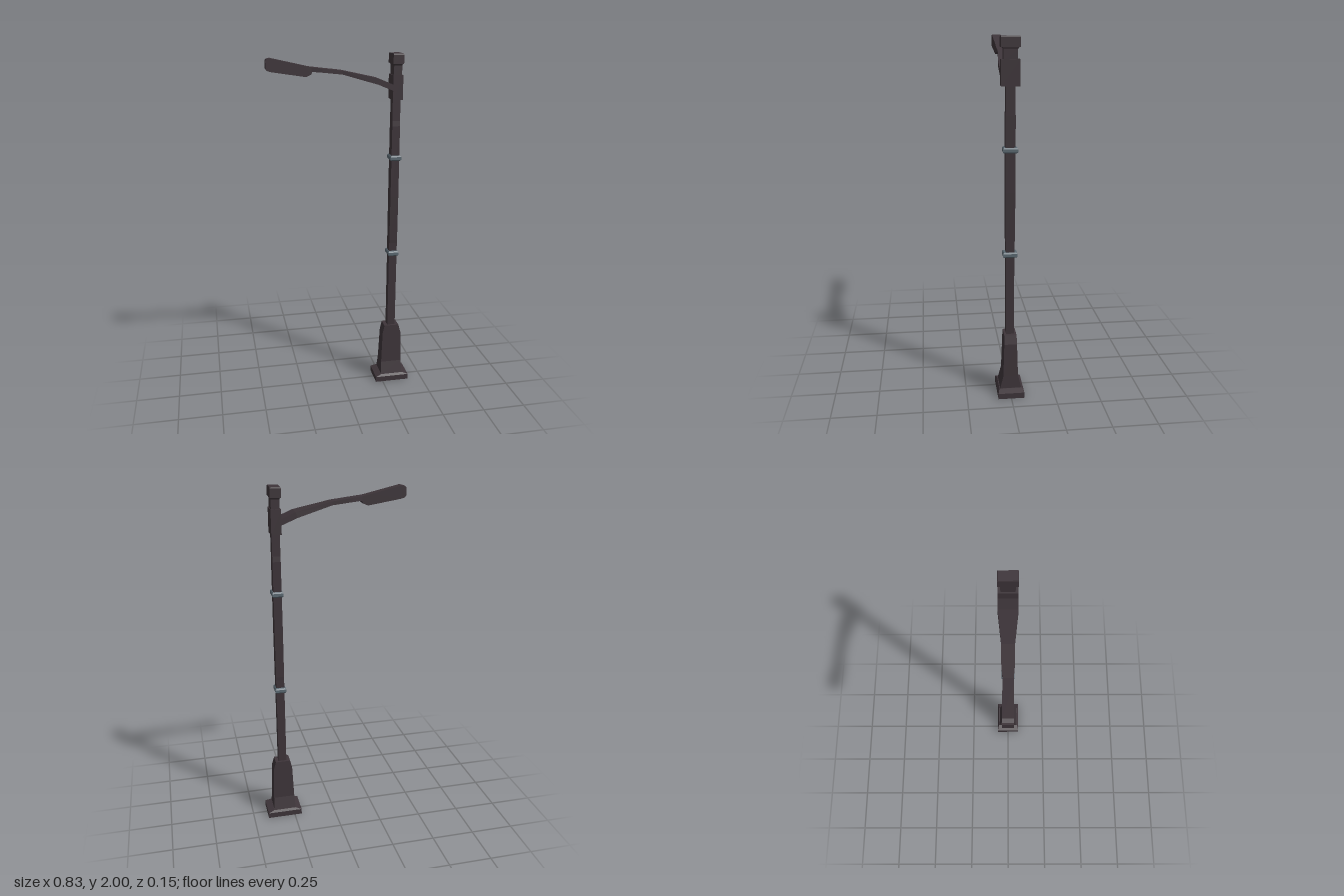
import * as THREE from 'three';

// Joins four-cornered rings (counter-clockwise seen from the last ring) into a closed faceted solid.
function loft(rings) {
  const pos = [];
  const quad = (a, b, c, d) => [a, b, c, a, c, d].forEach((p) => pos.push(...p));
  for (let i = 0; i < rings.length - 1; i++) {
    for (let k = 0; k < 4; k++) {
      const n = (k + 1) % 4;
      quad(rings[i][k], rings[i][n], rings[i + 1][n], rings[i + 1][k]);
    }
  }
  const [a, b, c, d] = rings[0];
  quad(d, c, b, a);
  quad(...rings[rings.length - 1]);
  const g = new THREE.BufferGeometry();
  g.setAttribute('position', new THREE.Float32BufferAttribute(pos, 3));
  g.computeVertexNormals();
  return g;
}

// Upright ring: height, left and right x, half depth
const level = ([y, x0, x1, z]) => [[x0, y, z], [x1, y, z], [x1, y, -z], [x0, y, -z]];
// Arm ring: bottom and top points, half depth
const slice = ([xb, yb, xt, yt, z]) => [[xb, yb, -z], [xb, yb, z], [xt, yt, z], [xt, yt, -z]];

export function createModel() {
  const group = new THREE.Group();
  const iron = new THREE.MeshStandardMaterial({ color: 0x3e353a, flatShading: true });
  iron.name = 'dark iron';
  const steel = new THREE.MeshStandardMaterial({ color: 0x5c6a73, flatShading: true });
  steel.name = 'grey steel';

  const add = (name, geometry, material = iron) => {
    const mesh = new THREE.Mesh(geometry, material);
    mesh.name = name;
    group.add(mesh);
  };
  const tower = (name, rows, material) => add(name, loft(rows.map(level)), material);

  // Foot and flared pedestal
  tower('footPlate', [
    [0, 0.207, 0.413, 0.074], [0.033, 0.207, 0.413, 0.074], [0.046, 0.243, 0.377, 0.065],
  ]);
  tower('pedestal', [
    [0.04, 0.242, 0.375, 0.062], [0.12, 0.246, 0.372, 0.042],
    [0.315, 0.254, 0.367, 0.036], [0.365, 0.265, 0.353, 0.035],
  ]);

  // Square pole, slightly thicker through its middle
  tower('pole', [
    [0.36, 0.286, 0.333, 0.022], [0.9, 0.286, 0.333, 0.023], [0.92, 0.286, 0.333, 0.025],
    [1.19, 0.286, 0.333, 0.027], [1.6, 0.287, 0.332, 0.027], [1.63, 0.287, 0.332, 0.024],
    [1.76, 0.287, 0.332, 0.024],
  ]);

  // Bevelled bands round the pole
  for (const y of [0.837, 1.417]) {
    tower('poleBand', [
      [y - 0.015, 0.284, 0.335, 0.034], [y - 0.008, 0.278, 0.341, 0.04],
      [y + 0.008, 0.278, 0.341, 0.04], [y + 0.015, 0.284, 0.335, 0.034],
    ], steel);
  }

  // Bracket, neck and cap
  tower('bracket', [[1.75, 0.281, 0.337, 0.05], [1.885, 0.281, 0.337, 0.05]]);
  tower('neck', [
    [1.88, 0.287, 0.333, 0.037], [1.935, 0.287, 0.333, 0.037], [1.95, 0.281, 0.337, 0.046],
  ]);
  tower('cap', [
    [1.945, 0.279, 0.339, 0.051], [1.993, 0.279, 0.339, 0.051], [2, 0.281, 0.337, 0.049],
  ]);

  // Curved arm, narrowing towards the lamp
  add('arm', loft([
    [0.29, 1.797, 0.29, 1.831, 0.05], [0.195, 1.836, 0.204, 1.867, 0.05],
    [0, 1.892, 0, 1.913, 0.032], [-0.11, 1.904, -0.11, 1.926, 0.031],
    [-0.18, 1.91, -0.18, 1.935, 0.025],
  ].map(slice)));

  // Lamp head
  add('lampHead', loft([
    [-0.165, 1.908, -0.167, 1.932, 0.026], [-0.171, 1.894, -0.175, 1.934, 0.026],
    [-0.2, 1.882, -0.21, 1.942, 0.026], [-0.39, 1.912, -0.39, 1.983, 0.026],
    [-0.408, 1.918, -0.408, 1.979, 0.026], [-0.415, 1.929, -0.415, 1.97, 0.026],
  ].map(slice)));

  return group;
}
